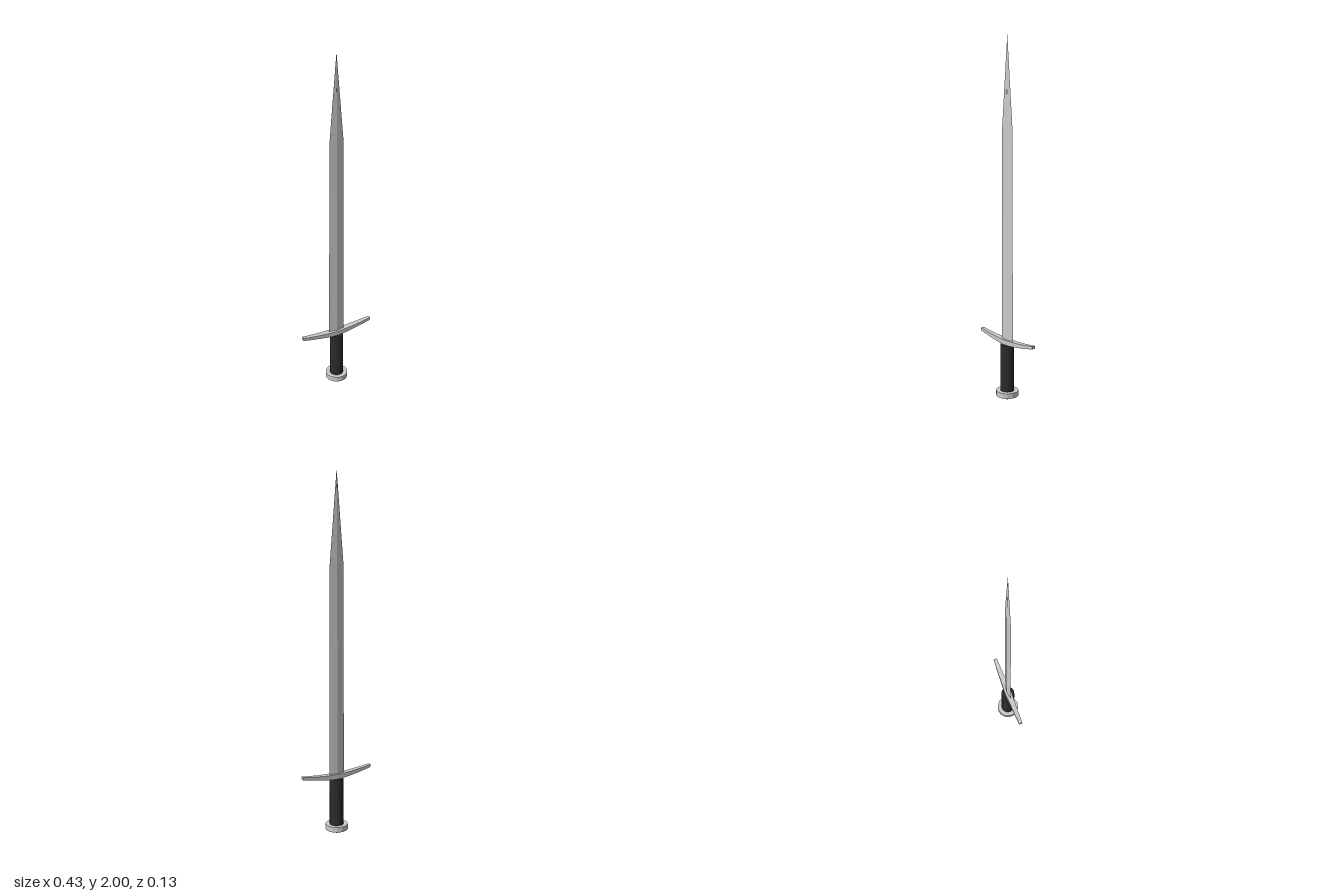
import * as THREE from 'three';

const steel = new THREE.MeshStandardMaterial({ color: 0xcccccc, flatShading: true });
const leather = new THREE.MeshStandardMaterial({ color: 0x2b2b2b, flatShading: true });

// Skin a row of equal-length rings and close both ends.
// Rings run counter-clockwise seen from the last ring's side.
function loft(rings) {
  const n = rings[0].length;
  const index = [];
  for (let r = 0; r < rings.length - 1; r++) {
    for (let i = 0; i < n; i++) {
      const a = r * n + i, b = r * n + (i + 1) % n;
      index.push(a, b, b + n, a, b + n, a + n);
    }
  }
  const last = (rings.length - 1) * n;
  for (let i = 1; i < n - 1; i++) {
    index.push(0, i + 1, i, last, last + i, last + i + 1);
  }
  const geometry = new THREE.BufferGeometry();
  geometry.setAttribute('position', new THREE.Float32BufferAttribute(rings.flat(2), 3));
  geometry.setIndex(index);
  const flat = geometry.toNonIndexed();
  flat.computeVertexNormals();
  return flat;
}

// Diamond-section blade: [y, half width, half thickness]
function bladeGeometry() {
  const stations = [
    [0.335, 0.047, 0.0075],
    [0.94, 0.0445, 0.007],
    [1.51, 0.042, 0.006],
    [2.0, 0.0004, 0.0004],
  ];
  return loft(stations.map(([y, w, t]) => [[w, y, 0], [0, y, -t], [-w, y, 0], [0, y, t]]));
}

// Upswept crossguard tapering towards both ends
function guardGeometry() {
  const rings = [];
  const steps = 12;
  for (let i = 0; i <= steps; i++) {
    const s = (i / steps) * 2 - 1;
    const k = Math.abs(s);
    const x = s * 0.215;
    const y = 0.334 + 0.024 * Math.pow(k, 1.6);
    const h = 0.0145 - 0.0065 * k;
    const d = 0.019 - 0.009 * k;
    rings.push([[x, y - h, d], [x, y - h, -d], [x, y + h, -d], [x, y + h, d]]);
  }
  return loft(rings);
}

export function createModel() {
  const sword = new THREE.Group();
  sword.name = 'sword';

  const add = (name, geometry, material, y = 0) => {
    const mesh = new THREE.Mesh(geometry, material);
    mesh.name = name;
    mesh.position.y = y;
    sword.add(mesh);
  };

  add('blade', bladeGeometry(), steel);
  add('crossguard', guardGeometry(), steel);
  add('grip', new THREE.CylinderGeometry(0.039, 0.039, 0.275, 14), leather, 0.1845);
  add('pommel', new THREE.CylinderGeometry(0.063, 0.063, 0.03, 14), steel, 0.04);

  // Small rounded rivet under the pommel
  const rivet = [[0, 0], [0.01, 0.002], [0.018, 0.011], [0.02, 0.027]];
  add('pommelRivet', new THREE.LatheGeometry(rivet.map(([r, y]) => new THREE.Vector2(r, y)), 10), steel);

  return sword;
}
